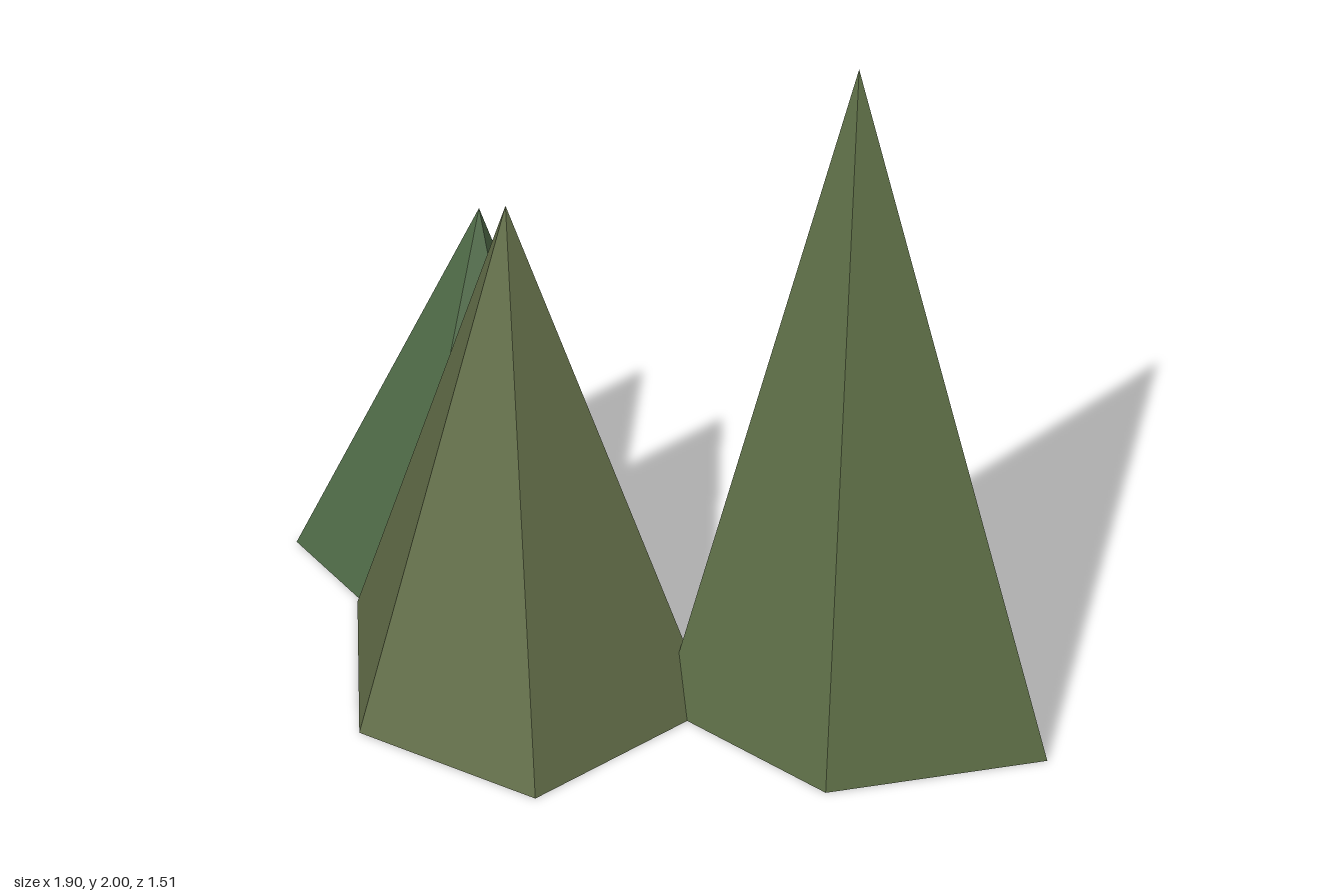
import * as THREE from 'three';

// Closed five-sided spire: base corners [x, z] counter-clockwise from above, apex [x, y, z]
function spire(name, color, apex, base) {
  const pos = [];
  const n = base.length;
  const corners = base.map(([x, z]) => [x, 0, z]);
  for (let i = 0; i < n; i++) {
    const a = corners[i], b = corners[(i + 1) % n];
    pos.push(...a, ...b, ...apex); // side
    if (i > 0 && i < n - 1) pos.push(...corners[0], ...b, ...a); // underside
  }
  const geo = new THREE.BufferGeometry();
  geo.setAttribute('position', new THREE.Float32BufferAttribute(pos, 3));
  geo.computeVertexNormals();
  const mesh = new THREE.Mesh(geo, new THREE.MeshStandardMaterial({ color, flatShading: true }));
  mesh.name = name;
  return mesh;
}

export function createModel() {
  const group = new THREE.Group();
  group.name = 'treeCluster';
  group.add(
    spire('tallTree', 0x5f7048, [0.5, 2, -0.275],
      [[-0.03, -0.45], [0.17, 0.095], [0.71, 0], [0.95, -0.52], [0.42, -0.76]]),
    spire('middleTree', 0x64704a, [-0.19, 1.45, 0.31],
      [[-0.66, 0.41], [-0.22, 0.755], [0.275, 0.585], [0.25, 0], [-0.29, 0]]),
    spire('smallTree', 0x506b48, [-0.6, 1.1, 0.068],
      [[-0.865, -0.08], [-0.955, 0.37], [-0.5, 0.415], [-0.213, 0.11], [-0.475, -0.27]]),
  );
  return group;
}
